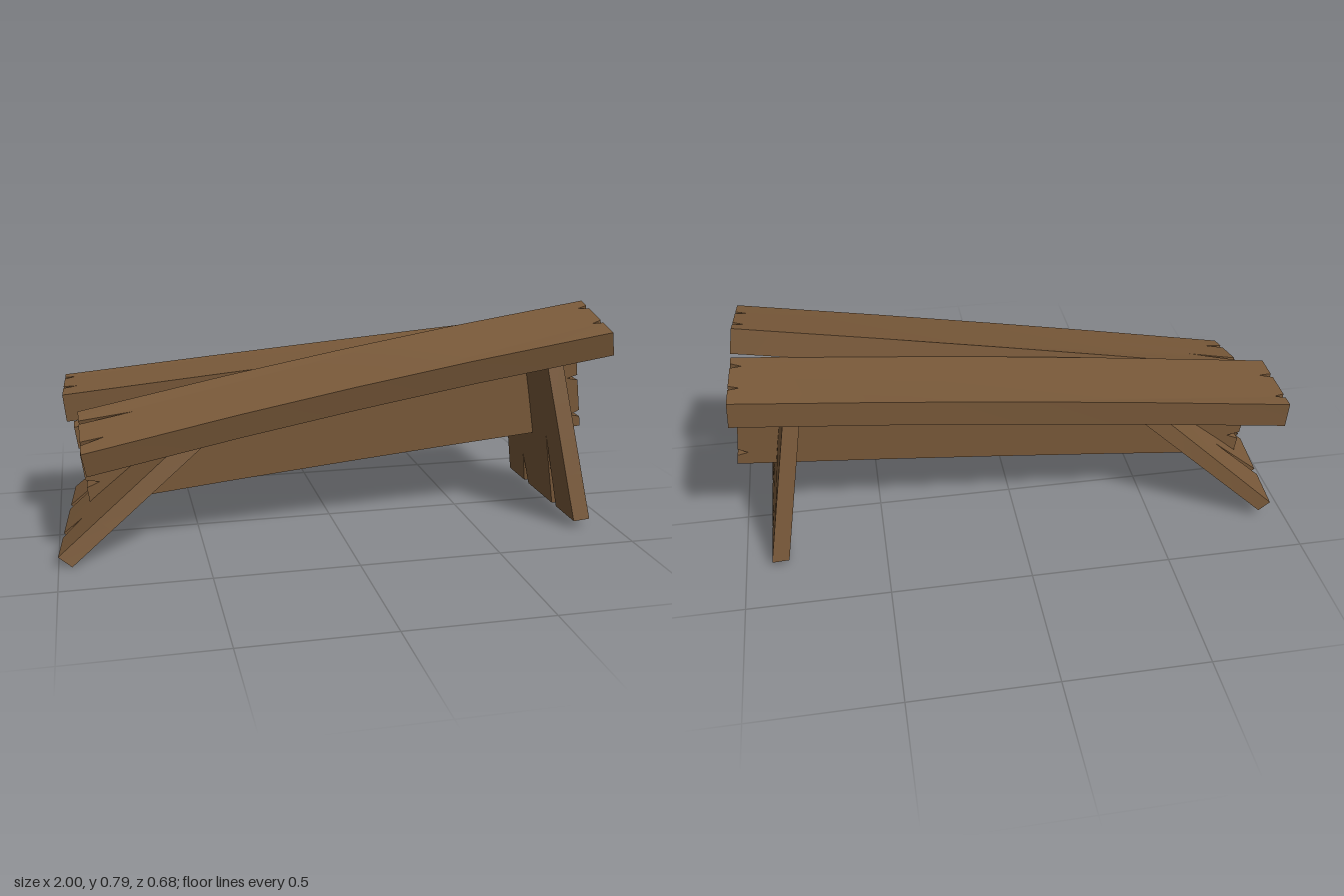
import * as THREE from 'three';
import { toCreasedNormals } from 'three/addons/utils/BufferGeometryUtils.js';

const wood = new THREE.MeshStandardMaterial({ color: 0x7a5a3a });

// Plank outline: length u 0..1, width v 0..1, with splits cut into both ends.
// Each split is [vStart, vEnd, vTip, depth].
function plankShape(startSplits, endSplits) {
  const pts = [[0, 0], [0.28, 0], [0.5, 0], [0.72, 0], [1, 0]];
  for (const [a, b, tip, d] of endSplits) pts.push([1, a], [1 - d, tip], [1, b]);
  pts.push([1, 1], [0.72, 1], [0.5, 1], [0.28, 1], [0, 1]);
  for (const [a, b, tip, d] of [...startSplits].reverse()) pts.push([0, b], [d, tip], [0, a]);
  return new THREE.Shape(pts.map(([u, v]) => new THREE.Vector2(u, v)));
}

// Extrudes the outline and warps it between two end quads.
// Quad corners: (v0,w0), (v1,w0), (v0,w1), (v1,w1).
function plank(name, { start, end, startSplits = [], endSplits = [], bow = [0, 0, 0] }) {
  const geo = new THREE.ExtrudeGeometry(plankShape(startSplits, endSplits), {
    depth: 1, bevelEnabled: false,
  });
  geo.deleteAttribute('uv');
  const pos = geo.attributes.position;
  const quadPoint = (q, v, w, i) =>
    (q[0][i] * (1 - v) + q[1][i] * v) * (1 - w) + (q[2][i] * (1 - v) + q[3][i] * v) * w;
  for (let k = 0; k < pos.count; k++) {
    const u = pos.getX(k), v = pos.getY(k), w = pos.getZ(k);
    const p = [0, 1, 2].map((i) =>
      quadPoint(start, v, w, i) * (1 - u) + quadPoint(end, v, w, i) * u
      + bow[i] * 4 * u * (1 - u));
    pos.setXYZ(k, ...p);
  }
  const mesh = new THREE.Mesh(toCreasedNormals(geo, 0.5), wood);
  mesh.name = name;
  return mesh;
}

export function createModel() {
  const bench = new THREE.Group();
  bench.name = 'brokenBench';

  // Tilted front seat board
  bench.add(plank('frontSeatPlank', {
    start: [[-0.89, 0.315, 0.3], [-0.89, 0.38, 0.0], [-0.905, 0.4, 0.32], [-0.91, 0.465, 0.015]],
    end: [[0.975, 0.642, 0.31], [0.975, 0.705, 0.03], [0.955, 0.73, 0.332], [0.96, 0.795, 0.046]],
    startSplits: [[0.2, 0.28, 0.26, 0.045], [0.69, 0.77, 0.67, 0.1]],
    endSplits: [[0.3, 0.38, 0.33, 0.02], [0.75, 0.84, 0.8, 0.02]],
    bow: [0, 0.012, -0.012],
  }));

  // Flatter back seat board
  bench.add(plank('backSeatPlank', {
    start: [[-0.95, 0.415, -0.04], [-0.945, 0.425, -0.335], [-0.96, 0.515, -0.035], [-0.95, 0.518, -0.338]],
    end: [[0.985, 0.588, 0.027], [0.985, 0.595, -0.262], [0.975, 0.69, 0.03], [0.98, 0.688, -0.262]],
    startSplits: [[0.31, 0.39, 0.35, 0.025], [0.77, 0.85, 0.82, 0.02]],
    endSplits: [[0.14, 0.24, 0.2, 0.02], [0.63, 0.71, 0.67, 0.02]],
    bow: [0, 0.005, 0.008],
  }));

  // Upright stretcher that passes through both legs
  bench.add(plank('stretcher', {
    start: [[-0.885, 0.115, -0.055], [-0.925, 0.41, -0.06], [-0.885, 0.115, 0.015], [-0.925, 0.41, 0.02]],
    end: [[1.0, 0.295, -0.055], [0.965, 0.585, -0.062], [1.0, 0.295, 0.015], [0.965, 0.585, 0.02]],
    startSplits: [[0.22, 0.32, 0.27, 0.025], [0.65, 0.73, 0.69, 0.025]],
    endSplits: [[0.13, 0.22, 0.17, 0.02], [0.64, 0.71, 0.68, 0.022]],
    bow: [0, 0.006, 0],
  }));

  // Nearly upright leg, split from the foot
  bench.add(plank('leftLeg', {
    start: [[0.75, 0.625, 0.235], [0.75, 0.59, -0.205], [0.808, 0.635, 0.235], [0.808, 0.582, -0.205]],
    end: [[0.847, 0.03, 0.338], [0.847, 0.028, -0.302], [0.908, 0.035, 0.338], [0.908, 0.025, -0.302]],
    endSplits: [[0.255, 0.315, 0.248, 0.49], [0.684, 0.752, 0.73, 0.21]],
  }));

  // Collapsed leg, splayed far outward
  bench.add(plank('rightLeg', {
    start: [[-0.515, 0.435, 0.22], [-0.495, 0.46, -0.22], [-0.46, 0.4, 0.22], [-0.445, 0.425, -0.22]],
    end: [[-1.0, 0.04, 0.305], [-0.94, 0.07, -0.328], [-0.955, 0.002, 0.31], [-0.9, 0.035, -0.325]],
    endSplits: [[0.25, 0.31, 0.29, 0.14], [0.65, 0.71, 0.7, 0.4]],
  }));

  return bench;
}
